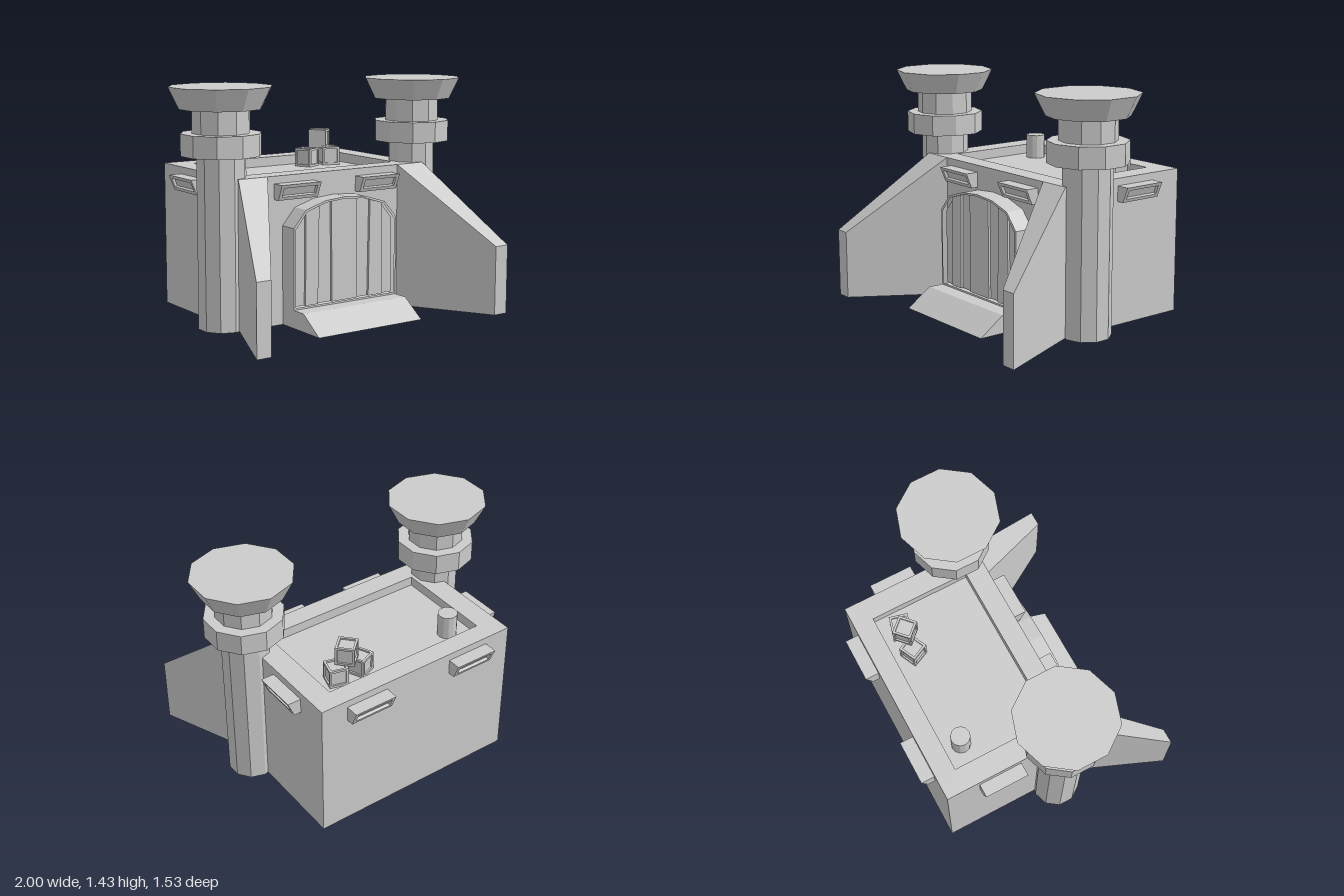
import * as THREE from 'three';

const material = new THREE.MeshStandardMaterial({ color: 0xcccccc, flatShading: true });

function add(parent, name, geometry, x = 0, y = 0, z = 0) {
  const mesh = new THREE.Mesh(geometry, material);
  mesh.name = name;
  mesh.position.set(x, y, z);
  parent.add(mesh);
  return mesh;
}

// Six-sided solid from a bottom and a top loop (counter-clockwise from above).
// Faces listed in insets (0-3 sides, 4 top, 5 bottom) get a sunken panel.
function hexa(bottom, top, insets = [], margin = 0, depth = 0) {
  const b = bottom.map(p => new THREE.Vector3(...p));
  const t = top.map(p => new THREE.Vector3(...p));
  const positions = [];
  const quad = (p, q, r, s) => [p, q, r, p, r, s].forEach(v => positions.push(v.x, v.y, v.z));
  const faces = [0, 1, 2, 3].map(i => [b[i], b[(i + 1) % 4], t[(i + 1) % 4], t[i]]);
  faces.push(t, [...b].reverse());
  faces.forEach((f, n) => {
    if (!insets.includes(n)) return quad(...f);
    const dir = (from, to) => to.clone().sub(from).normalize();
    const inward = dir(f[0], f[1]).cross(dir(f[0], f[3])).normalize().multiplyScalar(-depth);
    const rim = f.map((p, i) => p.clone()
      .addScaledVector(dir(p, f[(i + 1) % 4]), margin)
      .addScaledVector(dir(p, f[(i + 3) % 4]), margin));
    const sunk = rim.map(p => p.clone().add(inward));
    for (let i = 0; i < 4; i++) {
      const j = (i + 1) % 4;
      quad(f[i], f[j], rim[j], rim[i]);
      quad(rim[i], rim[j], sunk[j], sunk[i]);
    }
    quad(...sunk);
  });
  const g = new THREE.BufferGeometry();
  g.setAttribute('position', new THREE.Float32BufferAttribute(positions, 3));
  g.computeVertexNormals();
  return g;
}

// Rectangular loop at one height
const rect = (x0, x1, z0, z1, y) => [[x0, y, z1], [x1, y, z1], [x1, y, z0], [x0, y, z0]];

const polygon = (points, Type = THREE.Shape) => new Type(points.map(p => new THREE.Vector2(...p)));

const extrude = (shape, depth) => new THREE.ExtrudeGeometry(shape, { depth, bevelEnabled: false });

function buildHall(group) {
  // Walls with a raised parapet around a sunken roof
  const walls = polygon([[-0.68, -0.21], [0.68, -0.21], [0.68, 0.685], [-0.68, 0.685]]);
  walls.holes.push(polygon([[-0.54, -0.08], [-0.54, 0.56], [0.54, 0.56], [0.54, -0.08]], THREE.Path));
  add(group, 'walls', extrude(walls, 0.9).rotateX(-Math.PI / 2));
  add(group, 'roof', new THREE.BoxGeometry(1.08, 0.84, 0.64), 0, 0.42, -0.24);
  add(group, 'roofVent', new THREE.CylinderGeometry(0.06, 0.06, 0.16, 12), -0.4, 0.91, -0.45);
}

function buildTower(side) {
  const tower = new THREE.Group();
  tower.name = side > 0 ? 'leftTower' : 'rightTower';
  tower.position.set(side * 0.705, 0, 0.064);
  // name, bottom radius, top radius, bottom height, top height
  [['towerShaft', 0.148, 0.148, 0, 1.03],
    ['towerRing', 0.241, 0.241, 1.03, 1.16],
    ['towerNeck', 0.173, 0.173, 1.16, 1.3],
    ['towerCap', 0.245, 0.309, 1.3, 1.43],
  ].forEach(([name, r0, r1, y0, y1]) =>
    add(tower, name, new THREE.CylinderGeometry(r1, r0, y1 - y0, 10), 0, (y0 + y1) / 2, 0));
  return tower;
}

function buildWing(side) {
  // Splayed wall that thins and slopes down toward the front
  const loop = (front, back) => {
    const points = [[0.815, front, 0.765], [0.91, front, 0.765], [0.68, back, 0.21], [0.48, back, 0.21]];
    return side > 0 ? points : points.map(([x, y, z]) => [-x, y, z]).reverse();
  };
  return hexa(loop(0, 0), loop(0.43, 0.9));
}

function buildGate(group) {
  // Arched surround: points run from the right spring point to the left
  const arch = [[-0.378, 0.6], [-0.29, 0.702], [-0.15, 0.745], [0, 0.757],
    [0.15, 0.745], [0.29, 0.702], [0.378, 0.6]];
  const inner = arch.map(([x, y]) => [x * 0.966, y - 0.012]);
  const archY = x => {
    const i = Math.max(1, inner.findIndex(p => p[0] >= x));
    const [[x0, y0], [x1, y1]] = [inner[i - 1], inner[i]];
    return y0 + (y1 - y0) * (x - x0) / (x1 - x0);
  };
  const opening = [[-0.365, 0.122], ...inner, [0.365, 0.122]];
  const frame = polygon([[-0.378, 0.11], ...arch, [0.378, 0.11]]);
  frame.holes.push(polygon(opening, THREE.Path));
  add(group, 'gateFrame', extrude(frame, 0.12), 0, 0, 0.21);
  add(group, 'gatePanel', extrude(polygon(opening), 0.09), 0, 0, 0.21);

  // Raised planks with slightly uneven edges: bottom x pair, top x pair
  [[-0.285, -0.195, -0.28, -0.185], [-0.093, 0.093, -0.097, 0.09], [0.18, 0.285, 0.19, 0.277]]
    .forEach(([b0, b1, t0, t1]) => {
      const kinks = inner.filter(p => p[0] > t0 && p[0] < t1);
      const plank = polygon([[b0, 0.122], [t0, archY(t0)], ...kinks, [t1, archY(t1)], [b1, 0.122]]);
      add(group, 'gatePlank', extrude(plank, 0.015), 0, 0, 0.3);
    });

  // Threshold and sloping ramp in one block
  add(group, 'ramp', hexa(rect(-0.378, 0.378, 0.21, 0.59, 0), rect(-0.378, 0.378, 0.21, 0.43, 0.11)));
}

function buildLamps(group) {
  // Wedge-shaped housing with a sunken, downward-tilted face
  const geometry = hexa(rect(-0.14, 0.14, 0, 0.045, 0.76), rect(-0.14, 0.14, 0, 0.085, 0.855), [0], 0.022, 0.018);
  [['frontLamp', -0.295, 0.21, 0], ['frontLamp', 0.295, 0.21, 0],
    ['backLamp', -0.37, -0.685, Math.PI], ['backLamp', 0.365, -0.685, Math.PI],
    ['leftLamp', 0.68, -0.333, Math.PI / 2], ['rightLamp', -0.68, -0.333, -Math.PI / 2],
  ].forEach(([name, x, z, turn]) => {
    add(group, name, geometry, x, 0, z).rotation.y = turn;
  });
}

function buildCrates(group) {
  const h = 0.058;
  const geometry = hexa(rect(-h, h, -h, h, 0), rect(-h, h, -h, h, 0.118), [0, 1, 2, 3, 4, 5], 0.014, 0.01);
  // x, y, z, turn in degrees
  [[0.24, 0.84, -0.437, 25], [0.41, 0.84, -0.437, -15], [0.333, 0.958, -0.436, 43]]
    .forEach(([x, y, z, turn]) => {
      add(group, 'crate', geometry, x, y, z).rotation.y = THREE.MathUtils.degToRad(turn);
    });
}

export function createModel() {
  const model = new THREE.Group();
  model.name = 'gatehouse';
  buildHall(model);
  for (const side of [-1, 1]) {
    model.add(buildTower(side));
    add(model, side > 0 ? 'leftWingWall' : 'rightWingWall', buildWing(side));
  }
  buildGate(model);
  buildLamps(model);
  buildCrates(model);
  return model;
}
